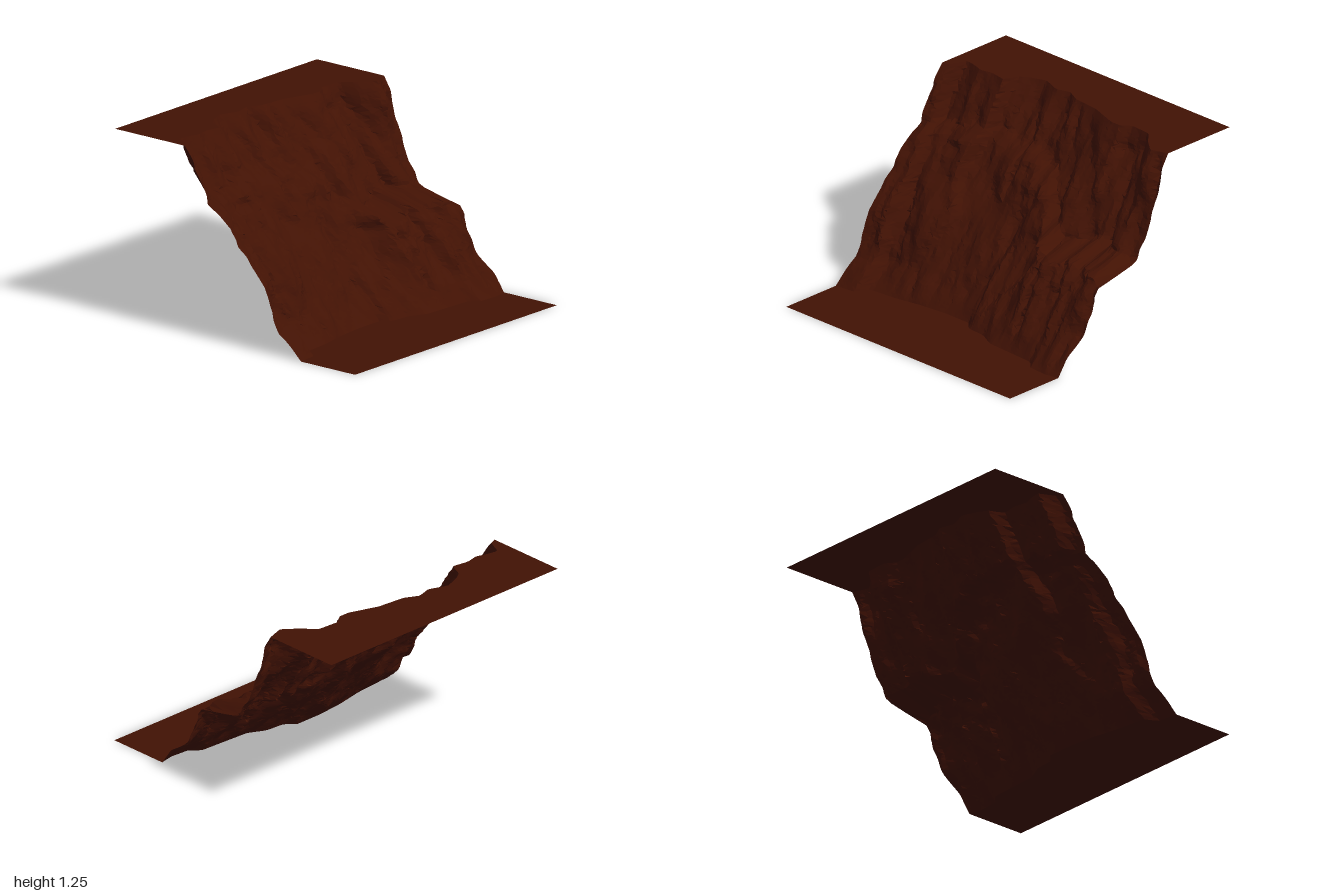
import * as THREE from 'three';

const { lerp, smoothstep, clamp } = THREE.MathUtils;
const HEIGHT = 1.25, NX = 84, NY = 66;

// Outlines as [x, value] pairs: cliff foot (z), cliff brow (z), ledge height (y)
const FOOT = [[-1, .46], [-.83, .44], [-.6, .42], [-.4, .38], [-.2, .36], [0, .36], [.06, .42],
  [.2, .43], [.32, .49], [.7, .51], [.76, .57], [.9, .58], [1, .56]];
const BROW = [[-1, -.51], [-.9, -.55], [-.8, -.53], [-.75, -.51], [-.66, -.53], [-.54, -.51], [-.5, -.61], [-.44, -.65],
  [-.33, -.69], [-.2, -.64], [-.1, -.67], [0, -.62], [.2, -.6], [.4, -.53], [.48, -.53], [.54, -.58], [.7, -.57],
  [.78, -.48], [.88, -.4], [1, -.44]];
const LEDGE = [[-1, .87], [-.75, .92], [-.55, .98], [-.35, .9], [-.2, .92], [.08, .86], [.2, .7], [.4, .54],
  [.6, .56], [.8, .6], [1, .53]];

// Bulge of the face at stations along x, as [u, depth]: u is 0 at the foot, 1 at the ledge, 2 at the brow
const STATIONS = [
  [-1, [[0, 0], [.17, -.07], [.5, .03], [.95, .02], [1.05, -.06], [1.5, -.01], [2, 0]]],
  [-.4, [[0, 0], [.5, .02], [.95, .03], [1.06, -.02], [2, 0]]],
  [.2, [[0, 0], [.5, -.03], [.93, .03], [1.06, -.06], [2, 0]]],
  [.55, [[0, 0], [.3, 0], [.95, .07], [1.07, -.15], [1.3, -.12], [2, 0]]],
  [1, [[0, 0], [.4, -.03], [.95, .03], [1.06, -.22], [1.25, -.2], [1.55, -.13], [2, 0]]],
];

function sample(points, x) {
  let k = 1;
  while (k < points.length - 1 && points[k][0] < x) k++;
  const [x0, v0] = points[k - 1], [x1, v1] = points[k];
  return lerp(v0, v1, (x - x0) / (x1 - x0));
}

// Seeded hash and value noise, both in -1..1
function hash(i, j) {
  let h = Math.imul(i, 374761393) + Math.imul(j, 668265263) + 1274126177;
  h = Math.imul(h ^ (h >>> 13), 1274126177);
  return ((h ^ (h >>> 16)) >>> 0) / 2147483648 - 1;
}
function noise(x, y) {
  const i = Math.floor(x), j = Math.floor(y);
  const u = smoothstep(x - i, 0, 1), v = smoothstep(y - j, 0, 1);
  return lerp(lerp(hash(i, j), hash(i + 1, j), u), lerp(hash(i, j + 1), hash(i + 1, j + 1), u), v);
}

// Depth of the rock face at x, y
function faceDepth(x, y) {
  const t = y / HEIGHT;
  const wander = (amount, row) => clamp(x + amount * noise(y * 4, row), -1, 1);
  let z = lerp(sample(FOOT, wander(.12 * t, 20)), sample(BROW, wander(.15 * (1 - t), 30)), t);
  const fade = Math.min(1, y / .12, (HEIGHT - y) / .12);

  // Buttress at the left end, its edge leaning outward with height
  const corner = -.79 - .12 * t + .02 * noise(y * 8, 70);
  z += .09 * (1 - smoothstep(x, corner - .06, corner));

  // Ledge and bulges of the face
  const ledge = sample(LEDGE, x) + .025 * noise(x * 11, 40);
  const u = y < ledge ? y / ledge : 1 + (y - ledge) / (HEIGHT - ledge);
  z += sample(STATIONS.map(([sx, profile]) => [sx, sample(profile, u)]), x);

  // Leaning slab at the lower right: the wall left of its seam sits deeper
  const seam = smoothstep(.05 + .75 * y - x, 0, .05) * smoothstep(x, .03, .15);
  z -= fade * .04 * seam * (1 - smoothstep(y, .5, .62));

  // Ribs running down the face, broken blocks and rubble along the ledge
  const rib = .03 * (Math.abs(noise(x * 9 + y * 1.6, y * 2.4)) * 2 - .8);
  const block = .013 * noise(x * 14 + 7, y * 9 + 3) + .008 * noise(x * 34, y * 18);
  const rubble = .026 * Math.exp(-(((y - ledge + .06) / .14) ** 2)) * noise(x * 12, y * 17 + 9);
  return z + fade * (rib + block + rubble);
}

// Sheet of nx by ny quads placed by a rule, with mixed diagonals
function sheet(name, nx, ny, place, material) {
  const pos = [], index = [];
  for (let j = 0; j <= ny; j++) for (let i = 0; i <= nx; i++) pos.push(...place(i, j));
  for (let j = 0; j < ny; j++) for (let i = 0; i < nx; i++) {
    const a = j * (nx + 1) + i, b = a + 1, c = b + nx + 1, d = c - 1;
    if (hash(i, j + 500) > 0) index.push(a, b, c, a, c, d);
    else index.push(a, b, d, b, c, d);
  }
  const geo = new THREE.BufferGeometry();
  geo.setAttribute('position', new THREE.Float32BufferAttribute(pos, 3));
  geo.setIndex(index);
  geo.computeVertexNormals();
  const mesh = new THREE.Mesh(geo, material);
  mesh.name = name;
  return mesh;
}

export function createModel() {
  const rock = new THREE.MeshStandardMaterial({ color: 0x421204, flatShading: true, side: THREE.DoubleSide });
  const group = new THREE.Group();
  group.name = 'cliff';
  const gridX = i => -1 + 2 * i / NX;

  // Sloping rock face with irregular facets
  group.add(sheet('rockFace', NX, NY, (i, j) => {
    const inX = i > 0 && i < NX, inY = j > 0 && j < NY;
    const x = gridX(i) + (inX && inY ? .34 * hash(i, j) * 2 / NX : 0);
    const y = HEIGHT * (j + (inY ? .3 * hash(i + 99, j) : 0)) / NY;
    return [x, y, faceDepth(x, y)];
  }, rock));

  // Flat ground in front of the foot
  group.add(sheet('lowerGround', NX, 1, (i, j) => [gridX(i), 0, j ? faceDepth(gridX(i), 0) : 1], rock));

  // Flat plateau behind the brow
  group.add(sheet('upperPlateau', NX, 1, (i, j) => [gridX(i), HEIGHT, j ? -1 : faceDepth(gridX(i), HEIGHT)], rock));

  return group;
}
